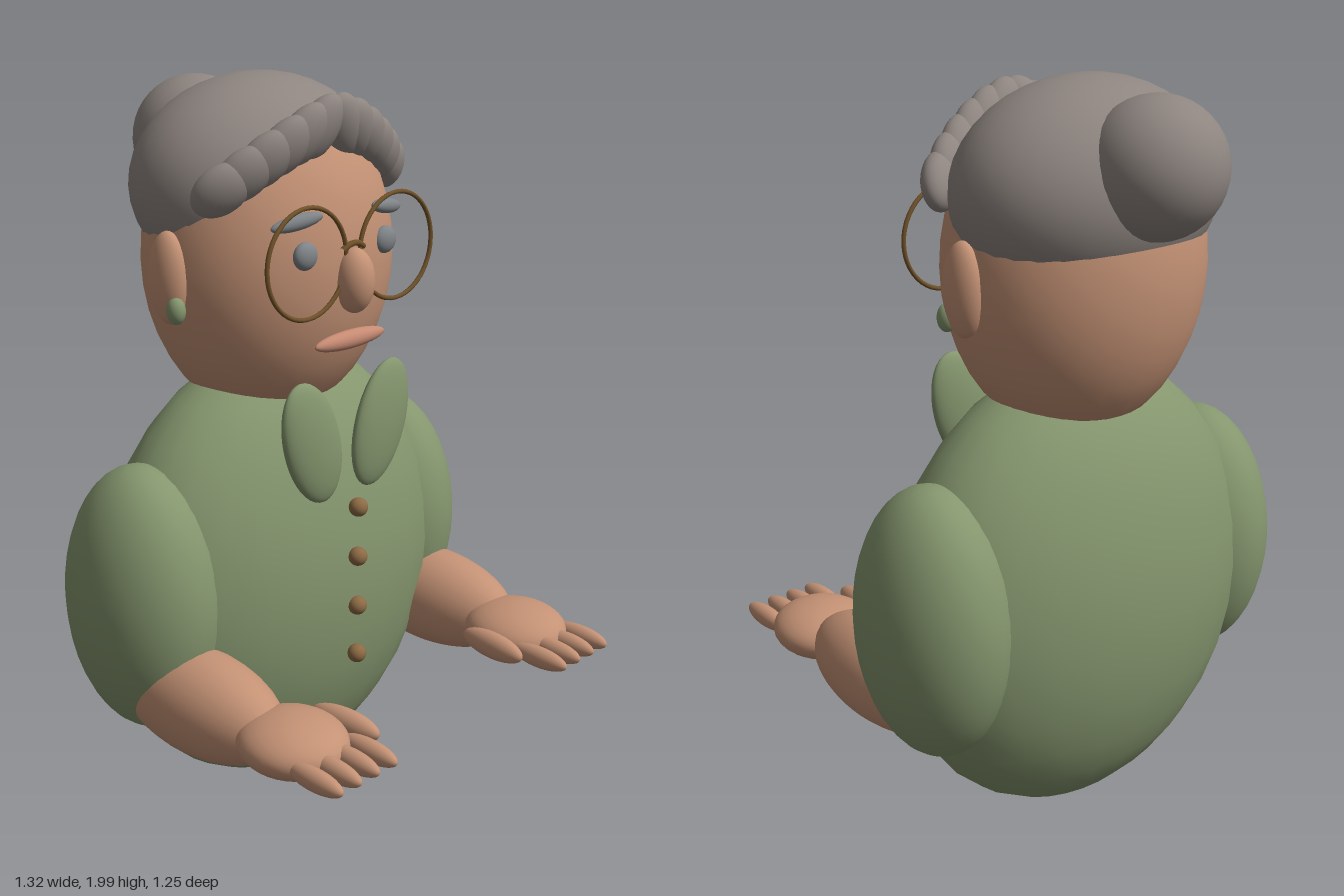
import * as THREE from 'three';

const mat = (name, color) => {
  const m = new THREE.MeshStandardMaterial({ color });
  m.name = name;
  return m;
};

export function createModel() {
  const skin = mat('skin', 0xc49275);
  const lips = mat('lips', 0xc68a72);
  const cloth = mat('green cloth', 0x85966e);
  const hair = mat('grey hair', 0x8e8580);
  const eyeGrey = mat('eye grey', 0x7f8488);
  const wire = mat('spectacle wire', 0x70522a);
  const brown = mat('button brown', 0x8c6a44);

  const model = new THREE.Group();
  model.name = 'figure';
  const ball = new THREE.SphereGeometry(1, 32, 20);
  const coarseBall = new THREE.SphereGeometry(1, 24, 16);

  // Ellipsoid from centre, radii and rotation
  function blob(name, material, pos, radii, rot = [0, 0, 0], geometry = ball) {
    const mesh = new THREE.Mesh(geometry, material);
    mesh.name = name;
    mesh.position.set(...pos);
    mesh.scale.set(...radii);
    mesh.rotation.set(...rot);
    model.add(mesh);
    return mesh;
  }

  // Same ellipsoid on both sides of the body
  function pair(name, material, [x, y, z], radii, [rx, ry, rz] = [0, 0, 0]) {
    blob(name + 'Left', material, [x, y, z], radii, [rx, ry, rz]);
    blob(name + 'Right', material, [-x, y, z], radii, [rx, -ry, -rz]);
  }

  // Body and head
  blob('torso', cloth, [0, 0.64, -0.165], [0.57, 0.63, 0.325], [0, 0, 0], coarseBall);
  blob('head', skin, [0, 1.53, -0.17], [0.36, 0.45, 0.31]);

  // Hair cap, bun and swept fringe
  blob('hairCap', hair, [0, 1.72, -0.208], [0.375, 0.28, 0.285]);
  blob('bun', hair, [0, 1.803, -0.45], [0.173, 0.173, 0.173]);
  const locks = 6;
  for (let i = 0; i < locks; i++) {
    const t = i / (locks - 1);
    pair('fringeLock' + (i + 1), hair,
      [0.045 + 0.26 * t, 1.878 - 0.13 * Math.pow(t, 1.4), 0.058 - 0.075 * t * t],
      [0.062, 0.097 - 0.012 * t, 0.043], [0.32, 0.5 * t, 0.5 + 0.25 * t]);
  }

  // Face
  pair('eye', eyeGrey, [0.148, 1.58, 0.115], [0.038, 0.036, 0.022]);
  pair('brow', eyeGrey, [0.165, 1.665, 0.103], [0.076, 0.02, 0.018], [0, 0.25, -0.15]);
  blob('nose', skin, [0, 1.5, 0.145], [0.052, 0.085, 0.055]);
  blob('mouth', lips, [0, 1.343, 0.132], [0.13, 0.025, 0.022]);
  pair('ear', skin, [0.355, 1.515, -0.165], [0.045, 0.12, 0.062]);
  pair('earring', cloth, [0.373, 1.44, -0.12], [0.024, 0.036, 0.026]);

  // Round spectacles with an arched bridge
  const rim = new THREE.TorusGeometry(0.14, 0.006, 8, 48);
  for (const side of [1, -1]) {
    const mesh = new THREE.Mesh(rim, wire);
    mesh.name = side > 0 ? 'rimLeft' : 'rimRight';
    mesh.position.set(side * 0.165, 1.566, 0.14);
    model.add(mesh);
  }
  const arch = new THREE.QuadraticBezierCurve3(
    new THREE.Vector3(-0.038, 1.582, 0.14),
    new THREE.Vector3(0, 1.612, 0.148),
    new THREE.Vector3(0.038, 1.582, 0.14));
  const bridge = new THREE.Mesh(new THREE.TubeGeometry(arch, 12, 0.008, 8), wire);
  bridge.name = 'spectacleBridge';
  model.add(bridge);

  // Collar and buttons
  pair('collar', cloth, [0.132, 1.085, 0.123], [0.096, 0.178, 0.035], [0, 0, -0.32]);
  [0.885, 0.742, 0.597, 0.452].forEach((y, i) =>
    blob('button' + (i + 1), brown, [0, y, 0.167], [0.026, 0.026, 0.026]));

  // Arms and hands reaching forward
  pair('sleeve', cloth, [0.47, 0.67, -0.17], [0.19, 0.37, 0.237]);
  pair('forearm', skin, [0.47, 0.44, 0.045], [0.132, 0.142, 0.292]);
  pair('palm', skin, [0.455, 0.443, 0.37], [0.137, 0.075, 0.15]);
  pair('thumb', skin, [0.302, 0.45, 0.405], [0.032, 0.038, 0.108], [0, -0.08, 0]);
  for (let i = 0; i < 4; i++) {
    pair('finger' + (i + 1), skin, [0.35 + 0.064 * i, 0.44, 0.53], [0.026, 0.03, 0.092]);
  }

  return model;
}
